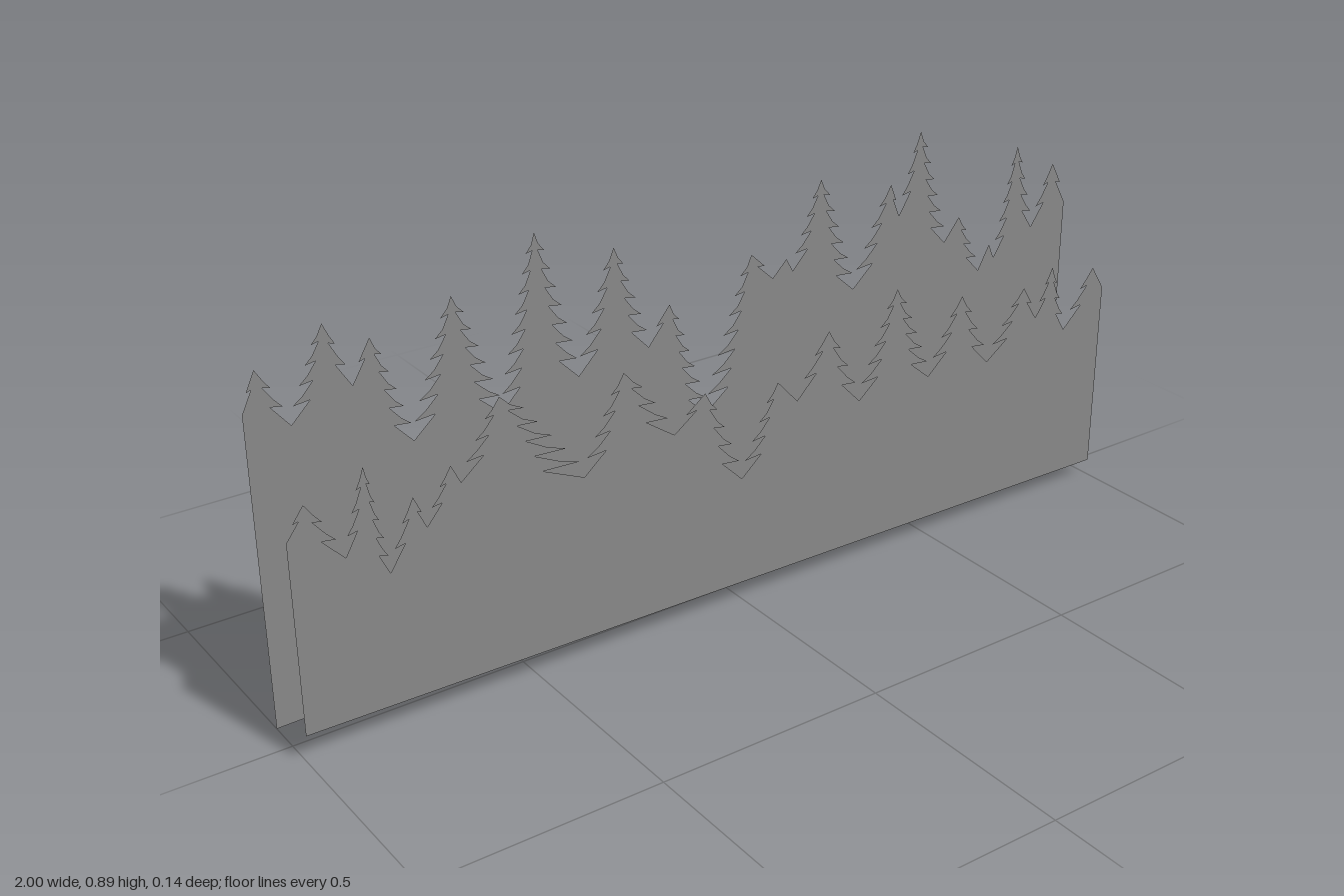
import * as THREE from 'three';

const material = new THREE.MeshStandardMaterial({ color: 0x888888, side: THREE.DoubleSide });

// Drooping branch tiers down one side of a tree, from its tip to the valley beside it
function slope(tip, valley) {
  const dx = valley[0] - tip[0], dy = valley[1] - tip[1];
  const n = Math.max(1, Math.round(-dy / 0.04));
  const pts = [];
  for (let k = 1; k < n; k++) {
    const t = k / n;
    pts.push([tip[0] + dx * (t * 0.85 - 0.1 / n), tip[1] + dy * (t - 0.4 / n)]);
    pts.push([tip[0] + dx * Math.min(0.97, t + 0.12), tip[1] + dy * t]);
    pts.push([tip[0] + dx * t * 0.58, tip[1] + dy * (t - 0.1 / n)]);
  }
  return pts;
}

// Flat forest silhouette: ridge alternates valley, tip, valley, tip ... valley
function treeLine(name, ridge, bottomLeft, bottomRight, z) {
  const outline = [[-1, bottomLeft], [1, bottomRight]];
  for (let i = ridge.length - 1; i >= 0; i--) {
    outline.push(ridge[i]);
    if (i === 0) break;
    const next = ridge[i - 1];
    if (ridge[i][1] > next[1]) outline.push(...slope(ridge[i], next));
    else outline.push(...slope(next, ridge[i]).reverse());
  }
  const shape = new THREE.Shape(outline.map(([x, y]) => new THREE.Vector2(x, y)));
  const mesh = new THREE.Mesh(new THREE.ShapeGeometry(shape), material);
  mesh.name = name;
  mesh.position.z = z;
  return mesh;
}

export function createModel() {
  const group = new THREE.Group();
  group.name = 'forestBackdrop';

  // Tall rear row of firs
  const rear = [
    [-1, 0.66], [-0.97, 0.74], [-0.91, 0.615], [-0.835, 0.795], [-0.785, 0.66],
    [-0.745, 0.745], [-0.67, 0.515], [-0.575, 0.785], [-0.48, 0.52], [-0.393, 0.87],
    [-0.305, 0.55], [-0.217, 0.8], [-0.14, 0.57], [-0.088, 0.65], [0, 0.385],
    [0.115, 0.71], [0.17, 0.645], [0.205, 0.68], [0.222, 0.65], [0.293, 0.835],
    [0.385, 0.57], [0.482, 0.785], [0.507, 0.71], [0.56, 0.888], [0.64, 0.62],
    [0.68, 0.67], [0.745, 0.53], [0.775, 0.585], [0.79, 0.55], [0.845, 0.8],
    [0.9, 0.6], [0.957, 0.738], [1, 0.64],
  ];
  group.add(treeLine('rearTreeLine', rear, 0, 0.036, -0.07));

  // Lower front row of firs
  const front = [
    [-1, 0.465], [-0.962, 0.53], [-0.89, 0.4], [-0.843, 0.57], [-0.805, 0.34],
    [-0.75, 0.48], [-0.725, 0.41], [-0.67, 0.52], [-0.65, 0.48], [-0.562, 0.63],
    [-0.385, 0.41], [-0.29, 0.605], [-0.175, 0.44], [-0.1, 0.51], [-0.01, 0.293],
    [0.08, 0.485], [0.13, 0.43], [0.21, 0.565], [0.295, 0.385], [0.39, 0.615],
    [0.485, 0.39], [0.573, 0.555], [0.655, 0.38], [0.755, 0.53], [0.795, 0.45],
    [0.838, 0.56], [0.885, 0.4], [0.965, 0.53], [1, 0.475],
  ];
  group.add(treeLine('frontTreeLine', front, 0.061, 0.037, 0.07));

  return group;
}
